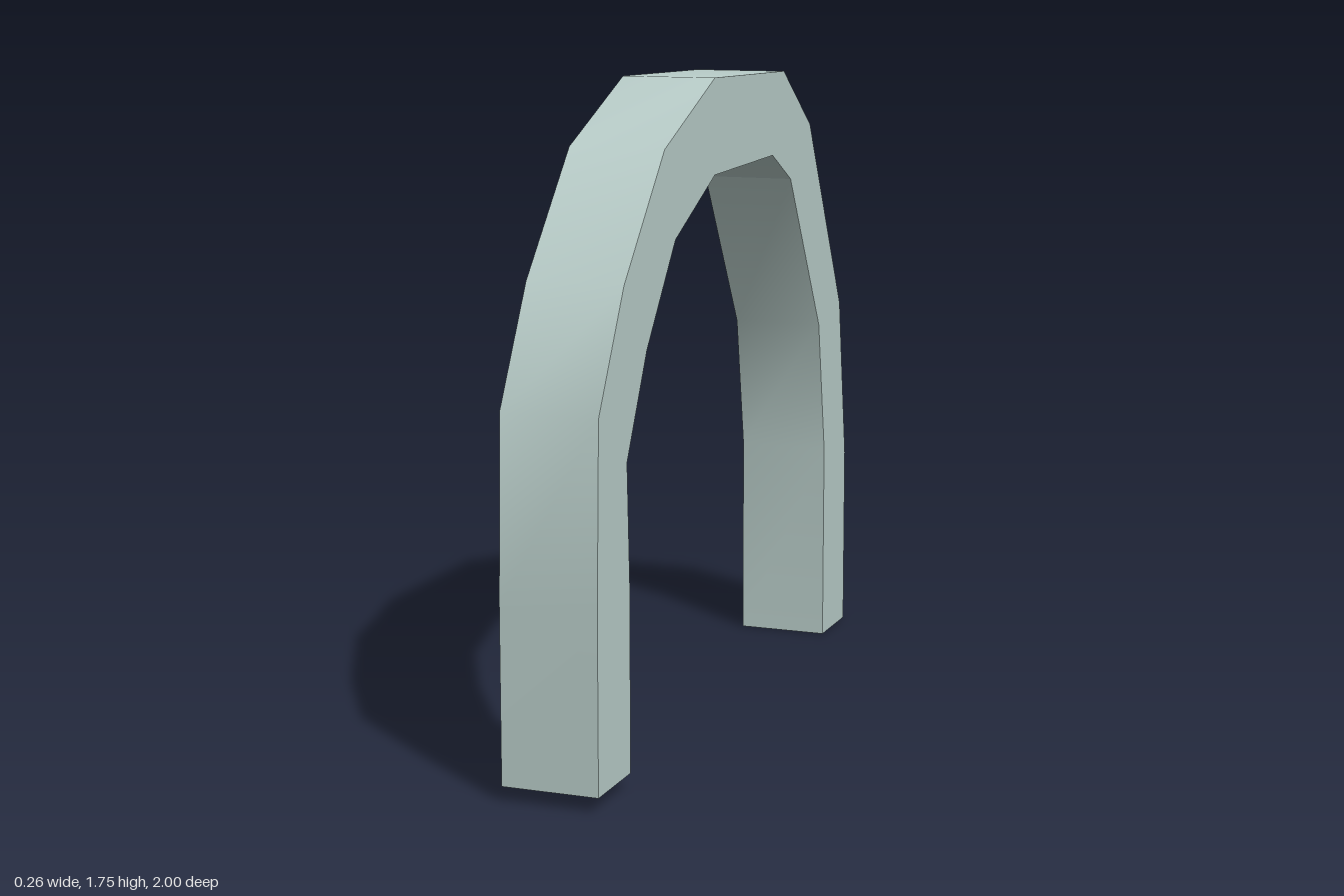
import * as THREE from 'three';
import { toCreasedNormals } from 'three/addons/utils/BufferGeometryUtils.js';

const HALF_WIDTH = 0.13;

// Arch profile from the front foot over the top to the back foot: [z, y]
const OUTER = [
  [1, 0.04], [1, 0.5], [0.985, 0.98], [0.82, 1.28], [0.545, 1.59], [0.18, 1.75],
  [-0.385, 1.74], [-0.625, 1.575], [-0.93, 1.01], [-1, 0.53], [-1, 0],
];
const INNER = [
  [0.79, 0.04], [0.79, 0.52], [0.805, 0.84], [0.67, 1.1], [0.47, 1.355], [0.18, 1.495],
  [-0.29, 1.51], [-0.45, 1.43], [-0.725, 0.97], [-0.788, 0.58], [-0.788, 0],
];

// Rectangular tube through the paired profile points, open at both feet
function archGeometry() {
  const sections = OUTER.map(([zo, yo], i) => {
    const [zi, yi] = INNER[i];
    return [
      [HALF_WIDTH, yo, zo], [-HALF_WIDTH, yo, zo],
      [-HALF_WIDTH, yi, zi], [HALF_WIDTH, yi, zi],
    ];
  });
  const positions = [];
  for (let i = 0; i < sections.length - 1; i++) {
    const low = sections[i], high = sections[i + 1];
    for (let k = 0; k < 4; k++) {
      const n = (k + 1) % 4;
      for (const p of [low[n], low[k], high[k], low[n], high[k], high[n]]) positions.push(...p);
    }
  }
  const geometry = new THREE.BufferGeometry();
  geometry.setAttribute('position', new THREE.Float32BufferAttribute(positions, 3));
  return toCreasedNormals(geometry, THREE.MathUtils.degToRad(30));
}

export function createModel() {
  const group = new THREE.Group();
  group.name = 'archway';
  const material = new THREE.MeshStandardMaterial({ color: 0xb8ccc8, side: THREE.DoubleSide });
  const arch = new THREE.Mesh(archGeometry(), material);
  arch.name = 'arch';
  group.add(arch);
  return group;
}
